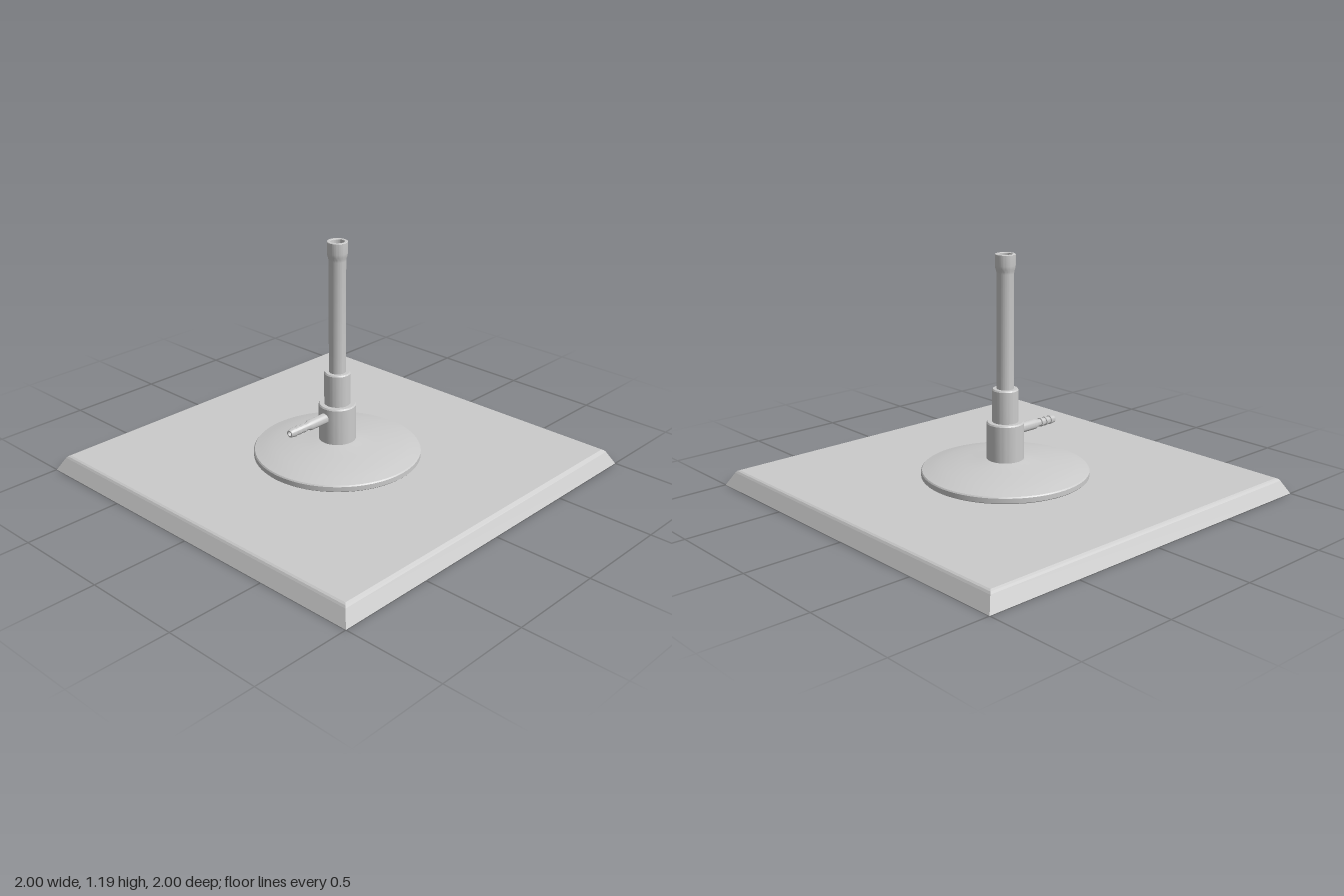
import * as THREE from 'three';
import { toCreasedNormals } from 'three/addons/utils/BufferGeometryUtils.js';

const material = new THREE.MeshStandardMaterial({ color: 0xcccccc });

// Revolve [radius, height] points, listed bottom to top, keeping sharp rims crisp
function turned(name, profile, segments = 64, phase = 0, crease = 0.5) {
  const points = profile.map(([r, y]) => new THREE.Vector2(r, y));
  const geometry = toCreasedNormals(new THREE.LatheGeometry(points, segments, phase), crease);
  const mesh = new THREE.Mesh(geometry, material);
  mesh.name = name;
  return mesh;
}

export function createModel() {
  const group = new THREE.Group();
  group.name = 'gasBurnerOnMat';

  // Square mat with sloped, bevelled sides: a four-sided turning
  const k = Math.SQRT2;
  group.add(turned('mat',
    [[0, 0], [k, 0], [0.963 * k, 0.066], [0.956 * k, 0.075], [0.946 * k, 0.08], [0, 0.08]],
    4, Math.PI / 4, 0.1));

  // Domed foot, its upper surface sweeping up to the column
  const foot = [[0, 0.08], [0.415, 0.08], [0.419, 0.084], [0.419, 0.108], [0.414, 0.114]];
  const dome = new THREE.SplineCurve([[0.414, 0.114], [0.34, 0.132], [0.25, 0.147],
    [0.16, 0.158], [0.093, 0.167]].map(([r, y]) => new THREE.Vector2(r, y)));
  dome.getPoints(16).slice(1).forEach((p) => foot.push([p.x, p.y]));
  foot.push([0, 0.167]);
  group.add(turned('foot', foot, 96));

  // Column and air collar, each with a small chamfer
  group.add(turned('column',
    [[0.093, 0.16], [0.093, 0.35], [0.088, 0.357], [0, 0.357]]));
  group.add(turned('airCollar',
    [[0.065, 0.35], [0.065, 0.518], [0.06, 0.525], [0, 0.525]]));

  // Hollow barrel with a flared mouth
  group.add(turned('barrel', [
    [0.042, 0.52], [0.042, 1.095], [0.044, 1.108], [0.048, 1.12], [0.05, 1.135],
    [0.05, 1.188], [0.048, 1.19], [0.036, 1.19], [0.034, 1.188], [0.031, 1.1],
    [0.031, 0.53], [0, 0.53],
  ]));

  // Gas inlet: a plain pipe ending in a ridged hose barb, pointing to the right
  const inletProfile = [[0.026, 0.08], [0.026, 0.197], [0.02, 0.212]];
  for (const start of [0.236, 0.268, 0.3]) {
    inletProfile.push([0.018, start - 0.002], [0.023, start], [0.019, start + 0.028]);
  }
  inletProfile.push([0.017, 0.332], [0.011, 0.332], [0.011, 0.26], [0, 0.26]);
  const inlet = turned('gasInlet', inletProfile, 32);
  inlet.rotation.z = Math.PI / 2;
  inlet.position.y = 0.3;
  group.add(inlet);

  return group;
}
